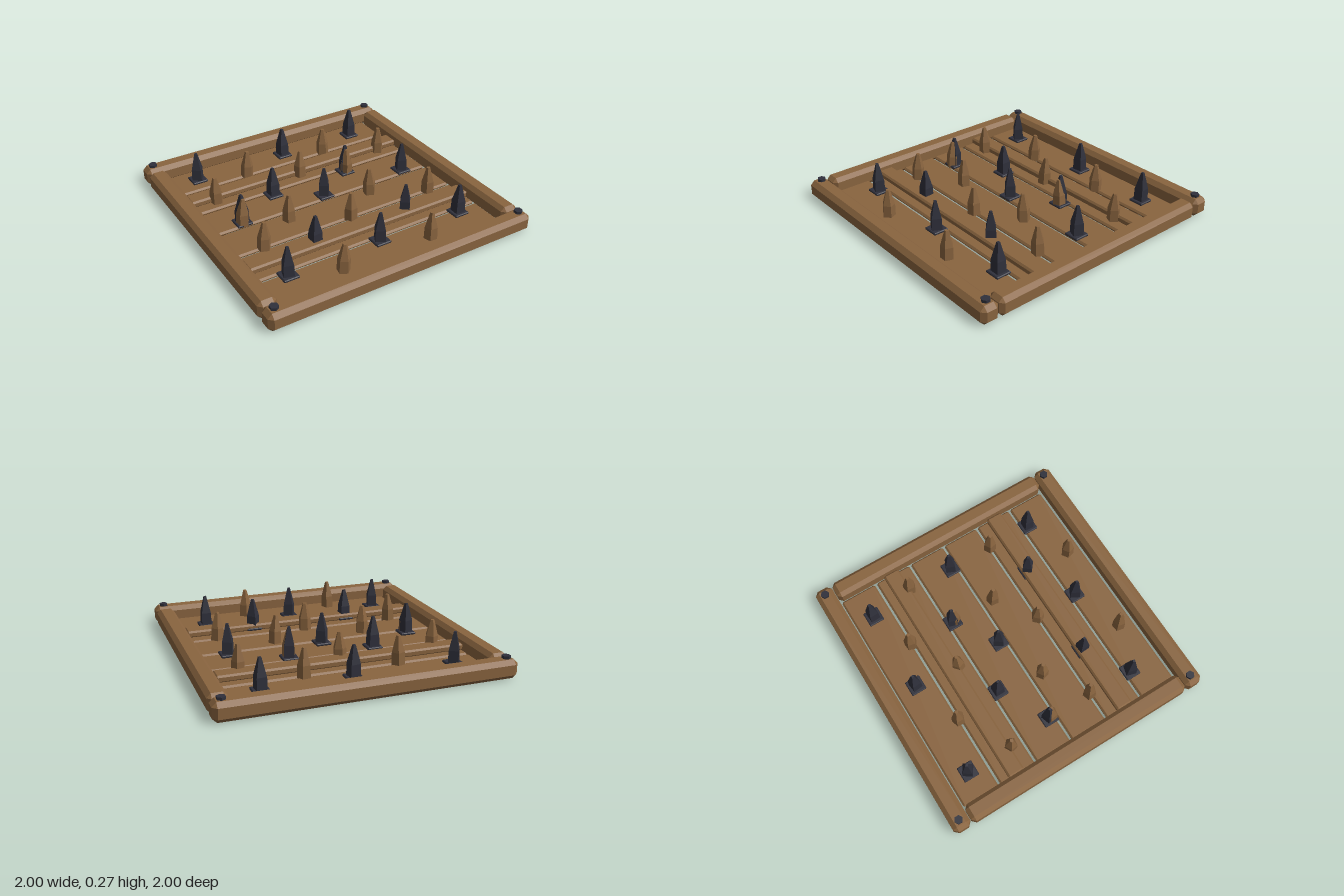
import * as THREE from 'three';
import { ConvexGeometry } from 'three/addons/geometries/ConvexGeometry.js';

const wood = new THREE.MeshStandardMaterial({ color: 0x89643f, flatShading: true });
wood.name = 'wood';
const iron = new THREE.MeshStandardMaterial({ color: 0x2f303b, flatShading: true });
iron.name = 'darkIron';

// Box with every edge and corner cut at 45 degrees
function chamferBox(w, h, d, c) {
  const pts = [];
  for (const sx of [-1, 1]) for (const sy of [-1, 1]) for (const sz of [-1, 1]) {
    const x = w / 2, y = h / 2, z = d / 2;
    pts.push(
      new THREE.Vector3(sx * x, sy * (y - c), sz * (z - c)),
      new THREE.Vector3(sx * (x - c), sy * y, sz * (z - c)),
      new THREE.Vector3(sx * (x - c), sy * (y - c), sz * z));
  }
  return new ConvexGeometry(pts);
}

// Tapering spike: slim foot, slight belly, narrow blunt tip
function spikeGeometry(sides, height, radii) {
  const profile = [[0, 0], [radii[0], 0], [radii[1], 0.45], [radii[2], 1], [0, 1]]
    .map(([r, t]) => new THREE.Vector2(r, t * height));
  return new THREE.LatheGeometry(profile, sides).toNonIndexed();
}

export function createModel() {
  const model = new THREE.Group();
  const add = (name, geo, mat, x, y, z, turn = 0) => {
    const mesh = new THREE.Mesh(geo, mat);
    mesh.name = name;
    mesh.position.set(x, y, z);
    mesh.rotation.y = turn;
    model.add(mesh);
    return mesh;
  };

  // Outer frame
  const endBeam = chamferBox(2, 0.13, 0.13, 0.03);
  const sideBeam = chamferBox(0.13, 0.13, 1.73, 0.028);
  for (const s of [-1, 1]) {
    add(s > 0 ? 'frontBeam' : 'backBeam', endBeam, wood, 0, 0.068, s * 0.935);
    add(s > 0 ? 'leftBeam' : 'rightBeam', sideBeam, wood, s * 0.935, 0.068, 0);
  }

  // Corner bolts
  const bolt = new THREE.CylinderGeometry(0.03, 0.03, 0.03, 6);
  for (const x of [-0.935, 0.935]) for (const z of [-0.935, 0.93])
    add('cornerBolt', bolt, iron, x, 0.137, z);

  // Floor planks
  const plank = chamferBox(1.735, 0.03, 0.272, 0.012);
  for (let i = 0; i < 6; i++) add('floorPlank', plank, wood, -0.003, 0.03, -0.724 + i * 0.2885);

  // Raised cross battens
  const batten = chamferBox(1.735, 0.05, 0.12, 0.012);
  for (const z of [-0.445, 0.437]) add('crossBatten', batten, wood, -0.003, 0.065, z);

  // Iron spikes on square plates: x, z, turn
  const plate = chamferBox(0.112, 0.018, 0.112, 0.005);
  const ironSpike = spikeGeometry(4, 0.225, [0.05, 0.047, 0.012]);
  [
    [-0.68, -0.715, 0.2], [0.03, -0.715, 0.9], [0.64, -0.715, 0.85],
    [-0.305, -0.245, 0.8], [0.305, -0.25, 0.5],
    [-0.65, -0.05, 1.1], [0, -0.05, 0.2], [0.675, -0.05, 0.4],
    [-0.355, 0.425, 0.85], [0.365, 0.425, 0.1],
    [-0.67, 0.62, 0.5], [0.025, 0.615, 0.3], [0.675, 0.62, 0.75],
  ].forEach(([x, z, turn]) => {
    add('spikePlate', plate, iron, x, 0.053, z);
    add('ironSpike', ironSpike, iron, x, 0.045, z, turn);
  });

  // Wooden stakes: x, z, turn, lean
  const stake = spikeGeometry(5, 0.205, [0.047, 0.045, 0.014]);
  [
    [-0.34, -0.585, 0.3], [0.315, -0.59, 0.1],
    [-0.685, -0.38, 0.5], [-0.005, -0.385, 0.7], [0.69, -0.385, 0.2],
    [0.308, -0.238, 0.9], [-0.655, -0.03, 0.4],
    [-0.36, 0.085, 0.6], [0.3, 0.085, 0.2],
    [-0.66, 0.285, 0.3], [0.01, 0.285, 0.8], [0.67, 0.285, 0.5],
    [-0.345, 0.75, 0.1], [0.335, 0.755, 0.6],
  ].forEach(([x, z, turn], i) => {
    const mesh = add('woodenStake', stake, wood, x, 0.04, z, turn);
    mesh.rotation.z = (i % 3 - 1) * 0.04;
  });

  return model;
}
